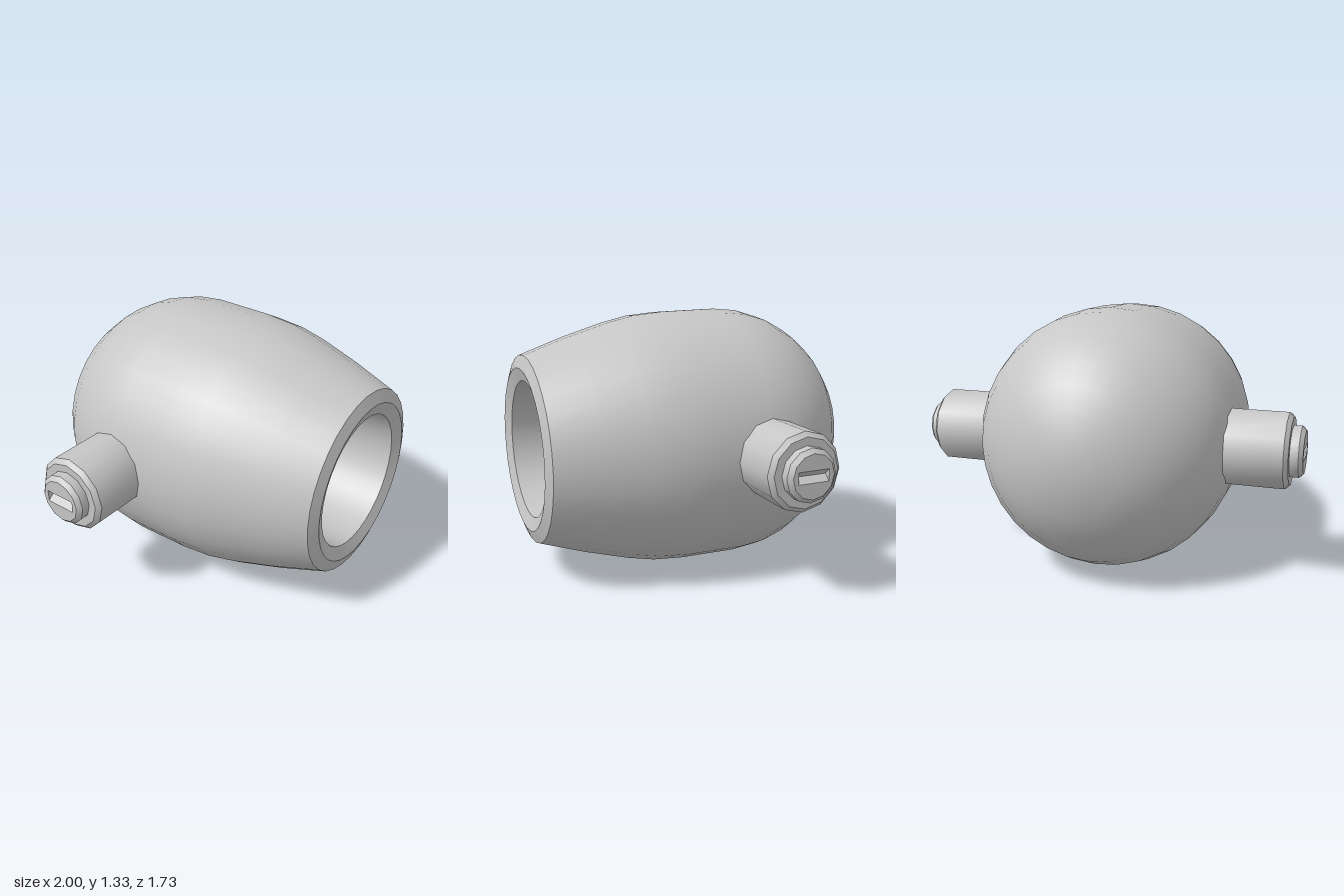
import * as THREE from 'three';
import { toCreasedNormals } from 'three/addons/utils/BufferGeometryUtils.js';

const AXIS_Y = 0.667, PIVOT_Z = -0.207, R = 0.667;

const iron = new THREE.MeshStandardMaterial({ color: 0xc6c6c6 });
iron.name = 'castIron';

// Turned part from [radius, height] pairs, smooth with sharp corners
function turned(pairs, sides) {
  const pts = pairs.map(([r, h]) => new THREE.Vector2(r, h));
  return toCreasedNormals(new THREE.LatheGeometry(pts, sides), 0.6);
}

function mesh(name, geometry) {
  const m = new THREE.Mesh(geometry, iron);
  m.name = name;
  return m;
}

// Round-backed barrel with a ridged muzzle lip, tapered bore and dished bore floor
function makeBarrel() {
  const profile = [];
  for (let i = 0; i <= 8; i++) {
    const a = (i / 8) * Math.PI / 2;
    profile.push([R * Math.sin(a), -0.198 - R * Math.cos(a)]);
  }
  profile.push([0.662, 0.1], [0.648, 0.26], [0.617, 0.4], [0.552, 0.62], [0.476, 0.84],
    [0.413, 0.863], [0.347, 0.839], [0.277, -0.2],
    [0.23, -0.24], [0.16, -0.275], [0.08, -0.295], [0, -0.3]);
  return mesh('barrel', turned(profile, 32).rotateX(Math.PI / 2));
}

// V-shaped groove sunk into the end face (opening faces +z)
function makeGroove(w, h, depth) {
  const A = [-w, -h, 0], B = [w, -h, 0], C = [w, h, 0], D = [-w, h, 0];
  const E = [-w, 0, -depth], F = [w, 0, -depth];
  const tris = [A, B, F, A, F, E, E, F, C, E, C, D, A, E, D, B, C, F];
  const g = new THREE.BufferGeometry();
  g.setAttribute('position', new THREE.Float32BufferAttribute(tris.flat(), 3));
  g.computeVertexNormals();
  return g;
}

// One side pivot, pointing along +x from the barrel axis
function makeTrunnion(name) {
  const group = new THREE.Group();
  group.name = name;
  const sides = 12, capR = 0.108, w = 0.08, h = 0.029;

  group.add(mesh('pivotPin', turned([
    [0.193, 0.5], [0.193, 0.917], [0.17, 0.938], [0.13, 0.938],
    [0.13, 0.98], [capR, 1]], sides).rotateZ(-Math.PI / 2)));

  // End face with a slot cut through it
  const face = new THREE.Shape();
  for (let i = 0; i < sides; i++) {
    const a = (i / sides) * Math.PI * 2;
    face[i ? 'lineTo' : 'moveTo'](capR * Math.cos(a), capR * Math.sin(a));
  }
  face.closePath();
  const slot = new THREE.Path();
  slot.moveTo(-w, -h).lineTo(-w, h).lineTo(w, h).lineTo(w, -h).closePath();
  face.holes.push(slot);
  for (const [n, g] of [['endFace', new THREE.ShapeGeometry(face)], ['slotGroove', makeGroove(w, h, 0.03)]]) {
    group.add(mesh(n, g.rotateY(Math.PI / 2).translate(1, 0, 0)));
  }
  group.position.set(0, AXIS_Y, PIVOT_Z);
  return group;
}

export function createModel() {
  const model = new THREE.Group();
  model.name = 'mortar';

  const barrel = makeBarrel();
  barrel.position.y = AXIS_Y;

  const left = makeTrunnion('leftTrunnion');
  const right = makeTrunnion('rightTrunnion');
  right.rotation.y = Math.PI;

  model.add(barrel, left, right);
  return model;
}
